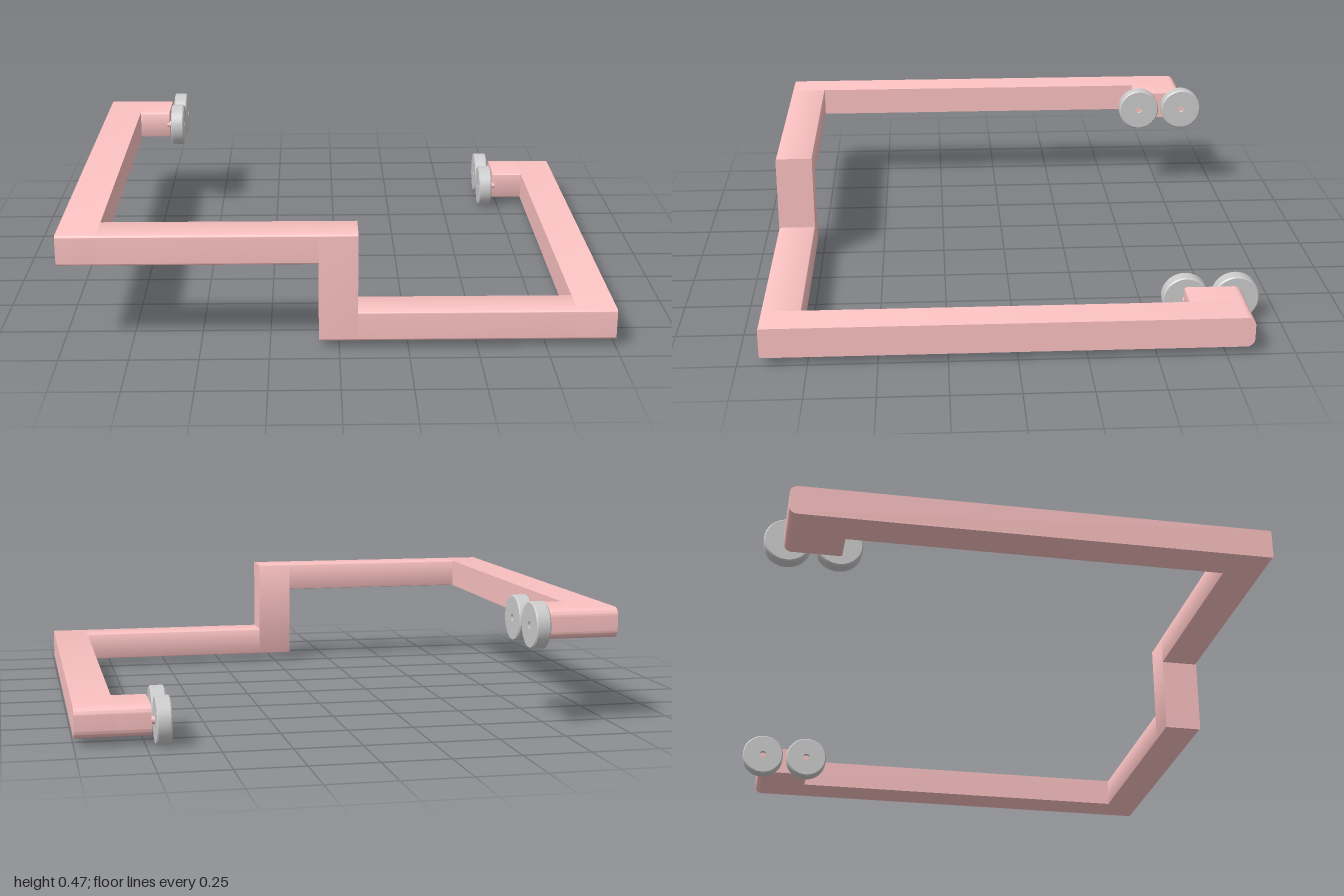
import * as THREE from 'three';
import { toCreasedNormals } from 'three/addons/utils/BufferGeometryUtils.js';

const BACK = -0.85, FRONT = 0.92, BAR = 0.145;

// Side profile in (z, y) with rounded back and front corners, extruded along x
function beam(name, material, [x0, x1], [y0, y1], [z0, z1], backR, frontR) {
  const s = new THREE.Shape();
  const H = Math.PI / 2;
  s.absarc(z0 + backR, y0 + backR, backR, Math.PI, 3 * H);
  s.absarc(z1 - frontR, y0 + frontR, frontR, -H, 0);
  s.absarc(z1 - frontR, y1 - frontR, frontR, 0, H);
  s.absarc(z0 + backR, y1 - backR, backR, H, Math.PI);
  const g = new THREE.ExtrudeGeometry(s, { depth: x1 - x0, bevelEnabled: false, curveSegments: 6 });
  g.rotateY(-Math.PI / 2);
  g.translate(x1, 0, 0);
  const m = new THREE.Mesh(toCreasedNormals(g, 0.6), material);
  m.name = name;
  return m;
}

// Wheel with a small hub hole and softened rims, axis along x
function wheelGeometry() {
  const R = 0.0875, h = 0.0275, r = 0.014, b = 0.005;
  const pts = [[r, -h], [R - b, -h], [R, -h + b], [R, h - b], [R - b, h], [r, h], [r, -h]]
    .map(([x, y]) => new THREE.Vector2(x, y));
  const g = new THREE.LatheGeometry(pts, 48);
  g.rotateZ(-Math.PI / 2);
  return toCreasedNormals(g.toNonIndexed(), 0.5);
}

export function createModel() {
  const model = new THREE.Group();
  model.name = 'wheeledFrame';
  const pink = new THREE.MeshStandardMaterial({ color: 0xfcc2c2 });
  const grey = new THREE.MeshStandardMaterial({ color: 0xcccccc });
  const wheelGeo = wheelGeometry();
  const axleGeo = new THREE.CylinderGeometry(0.0142, 0.0142, 0.06, 24).rotateZ(Math.PI / 2);

  // Low half on the left, raised half on the right
  const halves = [
    { label: 'left', side: 1, y: [0.032, 0.145], inner: 0.067 },
    { label: 'right', side: -1, y: [0.328, 0.441], inner: 0.073 },
  ];
  for (const { label, side, y, inner } of halves) {
    const half = new THREE.Group();
    half.name = label + 'Half';
    const span = (a, b) => (side > 0 ? [a, b] : [-b, -a]);
    half.add(
      beam('sideArm', pink, span(1 - BAR, 1), y, [BACK, FRONT], 0.03, 0.008),
      beam('frontBar', pink, span(inner, 1 - BAR), y, [FRONT - BAR, FRONT], 0.004, 0.008),
      beam('wheelBracket', pink, span(0.728, 1 - BAR), y, [BACK, -0.635], 0.03, 0.008),
    );
    // Pair of wheels on the inner end of the bracket
    for (const z of [-0.645, -0.835]) {
      const wheel = new THREE.Mesh(wheelGeo, grey);
      wheel.name = 'wheel';
      wheel.position.set(side * 0.6885, (y[0] + y[1]) / 2, z);
      const axle = new THREE.Mesh(axleGeo, pink);
      axle.name = 'axle';
      axle.position.set(side * 0.708, wheel.position.y, z);
      half.add(wheel, axle);
    }
    model.add(half);
  }

  // Upright joining the two levels
  model.add(beam('centrePost', pink, [-0.073, 0.067], [0.032, 0.441], [FRONT - BAR, FRONT], 0.004, 0.008));
  return model;
}
